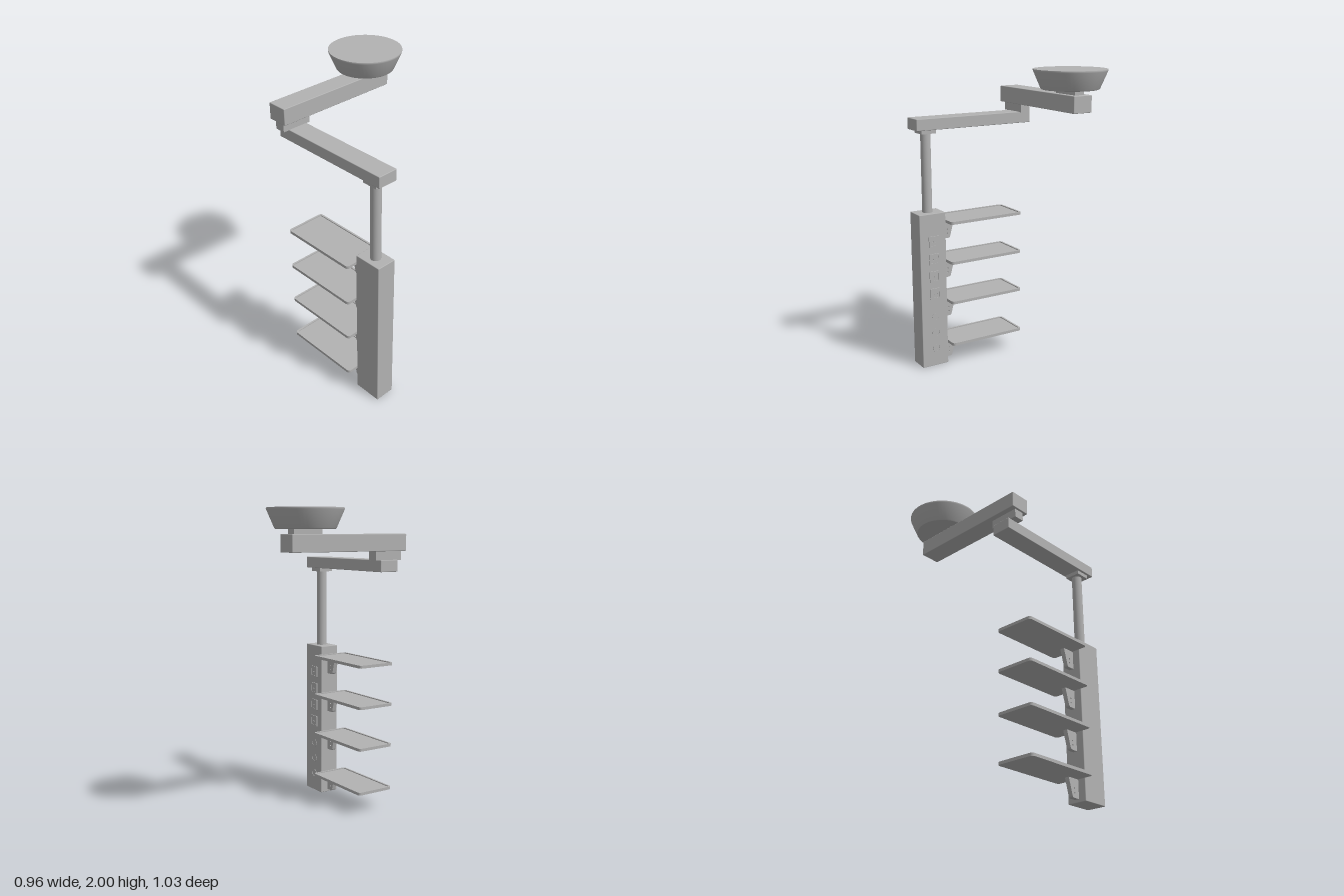
import * as THREE from 'three';
import { toCreasedNormals } from 'three/addons/utils/BufferGeometryUtils.js';
import { RoundedBoxGeometry } from 'three/addons/geometries/RoundedBoxGeometry.js';

const grey = new THREE.MeshStandardMaterial({ name: 'painted grey', color: 0xb2b2b2 });

function add(parent, name, geometry, x = 0, y = 0, z = 0) {
  const mesh = new THREE.Mesh(geometry, grey);
  mesh.name = name;
  mesh.position.set(x, y, z);
  parent.add(mesh);
  return mesh;
}

// Box given by its limits on each axis, with optional softened edges
function block(parent, name, [x0, x1], [y0, y1], [z0, z1], radius = 0) {
  const size = [x1 - x0, y1 - y0, z1 - z0];
  const geometry = radius ? new RoundedBoxGeometry(...size, 2, radius) : new THREE.BoxGeometry(...size);
  return add(parent, name, geometry, (x0 + x1) / 2, (y0 + y1) / 2, (z0 + z1) / 2);
}

// Rounded rectangle centred on the origin
function roundedRect(w, h, r, PathType = THREE.Shape) {
  const p = new PathType();
  const x = w / 2, y = h / 2;
  p.absarc(x - r, y - r, r, 0, Math.PI / 2);
  p.absarc(-x + r, y - r, r, Math.PI / 2, Math.PI);
  p.absarc(-x + r, -y + r, r, Math.PI, Math.PI * 1.5);
  p.absarc(x - r, -y + r, r, Math.PI * 1.5, Math.PI * 2);
  p.closePath();
  return p;
}

function circle(x, y, r) {
  return new THREE.Path().absarc(x, y, r, 0, Math.PI * 2, true);
}

const extrude = (shape, depth) =>
  new THREE.ExtrudeGeometry(shape, { depth, bevelEnabled: false, curveSegments: 8 });

// Tray with a raised rim, and the tapered bracket that carries it
function createShelf(bottom) {
  const shelf = new THREE.Group();
  shelf.name = 'shelf';
  const w = 0.27, d = 0.543;
  const plate = extrude(roundedRect(w, d, 0.02), 0.013).rotateX(-Math.PI / 2);
  add(shelf, 'tray', plate, -0.346, bottom, 0.047);
  const rimShape = roundedRect(w, d, 0.02);
  rimShape.holes.push(roundedRect(w - 0.026, d - 0.026, 0.01, THREE.Path));
  add(shelf, 'trayRim', extrude(rimShape, 0.006).rotateX(-Math.PI / 2), -0.346, bottom + 0.013, 0.047);

  // Shape x runs backwards from the column
  const side = new THREE.Shape();
  side.moveTo(0, 0);
  side.lineTo(0, -0.12);
  side.lineTo(0.047, -0.12);
  side.quadraticCurveTo(0.057, -0.118, 0.06, -0.108);
  side.lineTo(0.09, 0);
  side.closePath();
  for (const y of [-0.06, -0.088]) side.holes.push(circle(0.038, y, 0.005));
  const bracket = extrude(side, 0.03).rotateY(Math.PI / 2);
  add(shelf, 'bracket', bracket, -0.363, bottom, 0.325);
  return shelf;
}

// Square socket facing +x: frame, sunken insert and two pin holes
function createSocket(y) {
  const socket = new THREE.Group();
  socket.name = 'powerSocket';
  const frame = roundedRect(0.077, 0.077, 0.006);
  frame.holes.push(roundedRect(0.052, 0.052, 0.005, THREE.Path));
  add(socket, 'socketFrame', extrude(frame, 0.007).rotateY(Math.PI / 2));
  const insert = roundedRect(0.052, 0.052, 0.005);
  for (const x of [-0.01, 0.01]) insert.holes.push(circle(x, 0, 0.004));
  add(socket, 'socketInsert', extrude(insert, 0.004).rotateY(Math.PI / 2));
  socket.position.set(-0.28, y, 0.413);
  return socket;
}

// Round gas outlet facing +x
function createGasOutlet(y) {
  const ring = new THREE.Shape().absarc(0, 0, 0.028, 0, Math.PI * 2);
  ring.holes.push(circle(0, 0, 0.023));
  const mesh = new THREE.Mesh(extrude(ring, 0.003).rotateY(Math.PI / 2), grey);
  mesh.name = 'gasOutlet';
  mesh.position.set(-0.28, y, 0.413);
  return mesh;
}

export function createModel() {
  const model = new THREE.Group();
  model.name = 'ceilingSupplyPendant';

  // Service column hanging from its pole
  block(model, 'serviceColumn', [-0.415, -0.28], [0, 1.065], [0.325, 0.515], 0.004);
  add(model, 'pole', new THREE.CylinderGeometry(0.033, 0.033, 0.53, 32), -0.348, 1.325, 0.423);
  block(model, 'poleFlange', [-0.4, -0.298], [1.585, 1.612], [0.372, 0.474]);

  // Two arms at right angles, with swivel blocks between
  block(model, 'lowerArm', [-0.415, -0.28], [1.61, 1.685], [-0.335, 0.515], 0.004);
  block(model, 'elbowJoint', [-0.455, -0.255], [1.683, 1.742], [-0.316, -0.246]);
  block(model, 'upperArm', [-0.468, 0.38], [1.74, 1.847], [-0.351, -0.216], 0.004);
  block(model, 'ceilingJoint', [0.148, 0.345], [1.845, 1.88], [-0.316, -0.246]);

  // Flared ceiling cover
  const profile = [
    [0, 1.876], [0.176, 1.876], [0.181, 1.878], [0.185, 1.884],
    [0.23, 1.988], [0.232, 1.995], [0.231, 2], [0, 2],
  ].map(([r, y]) => new THREE.Vector2(r, y));
  add(model, 'ceilingCover', toCreasedNormals(new THREE.LatheGeometry(profile, 64), 0.6), 0.246, 0, -0.283);

  // Shelves on the back, outlets on the side
  for (const y of [0.14, 0.439, 0.717, 0.99]) model.add(createShelf(y));
  for (const y of [0.515, 0.635, 0.755, 0.875]) model.add(createSocket(y));
  for (const y of [0.125, 0.238, 0.35]) model.add(createGasOutlet(y));

  return model;
}
